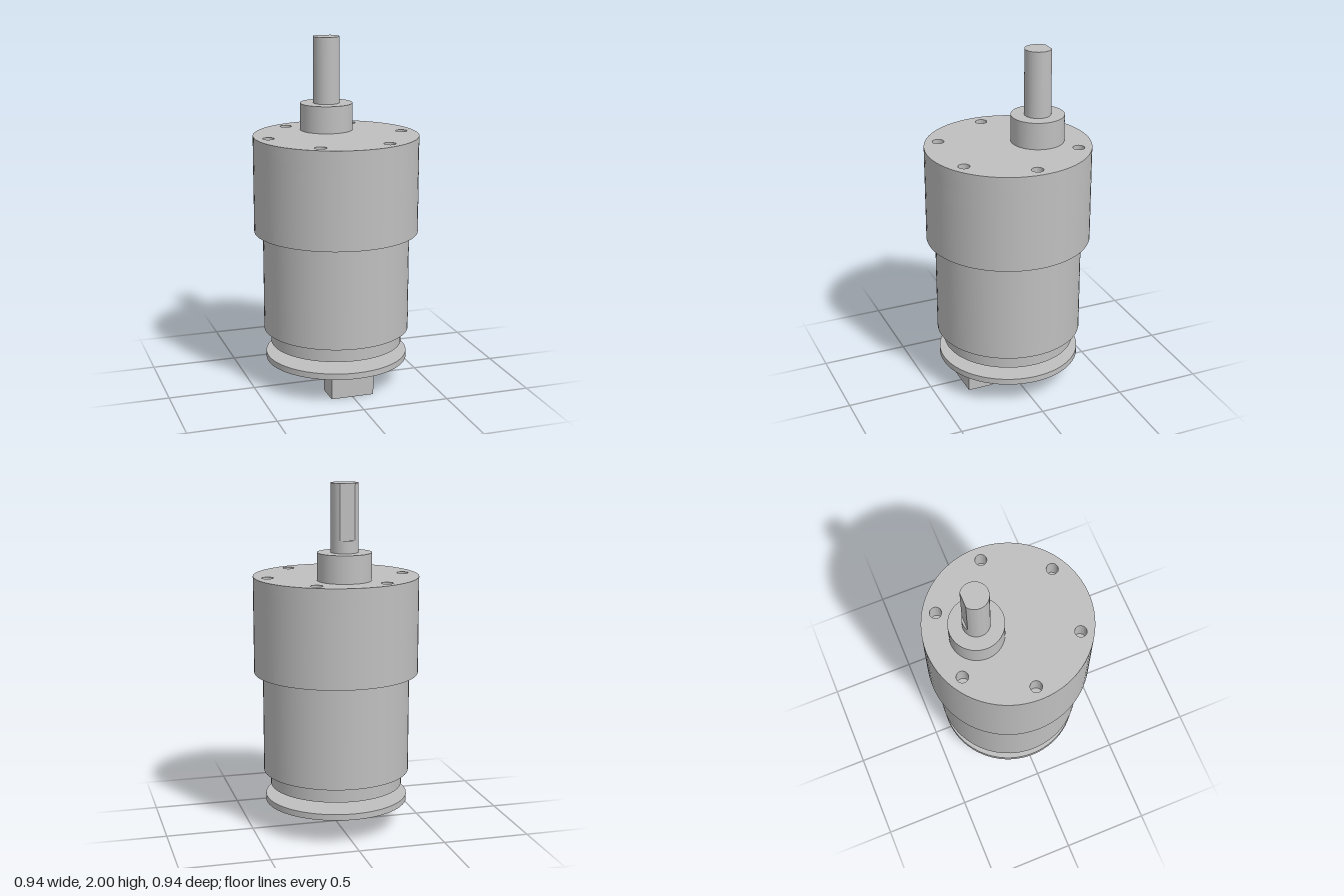
import * as THREE from 'three';
import { toCreasedNormals } from 'three/addons/utils/BufferGeometryUtils.js';

export function createModel() {
  const motor = new THREE.Group();
  motor.name = 'gearMotor';
  const metal = new THREE.MeshStandardMaterial({ color: 0xbfbfbf });
  metal.name = 'grey metal';

  const add = (name, geometry, x = 0, y = 0, z = 0) => {
    const mesh = new THREE.Mesh(geometry, metal);
    mesh.name = name;
    mesh.position.set(x, y, z);
    motor.add(mesh);
  };
  // Upright cylinder between two heights
  const drum = (name, r, y0, y1, z = 0) =>
    add(name, new THREE.CylinderGeometry(r, r, y1 - y0, 72), 0, (y0 + y1) / 2, z);
  // Upright extrusion with smooth curved walls
  const prism = (name, shape, y0, y1, z = 0) => {
    const g = new THREE.ExtrudeGeometry(shape, { depth: y1 - y0, bevelEnabled: false, curveSegments: 36 });
    add(name, toCreasedNormals(g.rotateX(-Math.PI / 2), 0.5), 0, y0, z);
  };

  // Rear connector, terminal board and terminals
  add('connector', new THREE.BoxGeometry(0.25, 0.15, 0.15), 0, 0.075, 0.23);
  drum('terminalBoard', 0.41, 0.15, 0.185);
  for (const side of [-1, 1])
    add(side > 0 ? 'leftTerminal' : 'rightTerminal', new THREE.BoxGeometry(0.02, 0.06, 0.07), side * 0.23, 0.215, 0);

  // Motor body
  drum('rearBearing', 0.152, 0.185, 0.245);
  drum('rearCollar', 0.38, 0.245, 0.33);
  drum('motorCan', 0.42, 0.33, 0.91);

  // Gearbox with six blind mounting holes
  const face = new THREE.Shape().absarc(0, 0, 0.47, 0, Math.PI * 2);
  for (let i = 0; i < 6; i++) {
    const a = i * Math.PI / 3;
    face.holes.push(new THREE.Path().absarc(0.395 * Math.cos(a), 0.395 * Math.sin(a), 0.033, 0, Math.PI * 2, true));
  }
  drum('gearbox', 0.47, 0.91, 1.345);
  prism('gearboxFace', face, 1.345, 1.465);

  // Offset output boss and shaft with a flat facing the back
  const shaftZ = -0.18, r = 0.076, flat = Math.asin(0.063 / r);
  drum('outputBoss', 0.152, 1.465, 1.62, shaftZ);
  drum('shaftBase', r, 1.62, 1.69, shaftZ);
  const dShape = new THREE.Shape().absarc(0, 0, r, Math.PI - flat, Math.PI * 2 + flat);
  dShape.closePath();
  prism('shaft', dShape, 1.69, 2, shaftZ);

  return motor;
}
